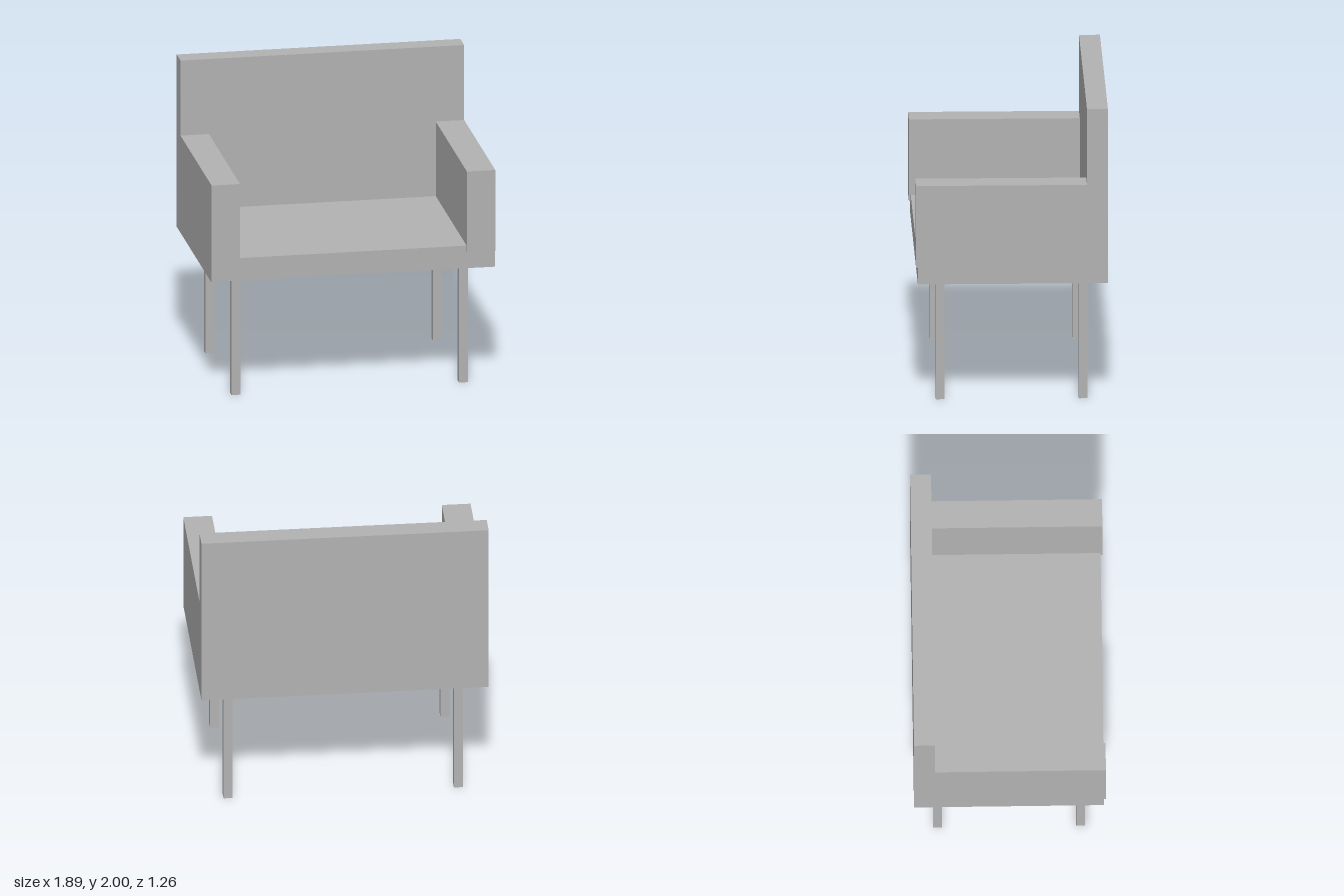
import * as THREE from 'three';

const grey = new THREE.MeshStandardMaterial({ color: 0xb2b2b2 });
grey.name = 'plain grey';

// Box given by its lower and upper bounds on each axis
function block(name, [x0, x1], [y0, y1], [z0, z1]) {
  const mesh = new THREE.Mesh(new THREE.BoxGeometry(x1 - x0, y1 - y0, z1 - z0), grey);
  mesh.position.set((x0 + x1) / 2, (y0 + y1) / 2, (z0 + z1) / 2);
  mesh.name = name;
  return mesh;
}

export function createModel() {
  const chair = new THREE.Group();
  chair.name = 'armchair';
  const W = 0.944, D = 0.628;

  // Seat slab and tall backrest
  chair.add(block('seat', [-W, W], [0.82, 0.975], [-D, 0.616]));
  chair.add(block('backrest', [-W, W], [0.975, 2], [-D, -0.491]));

  for (const [side, s] of [['left', 1], ['right', -1]]) {
    const span = (a, b) => (s > 0 ? [a, b] : [-b, -a]);

    // Armrest, its front lip hanging slightly over the seat edge
    chair.add(block(side + 'Armrest', span(0.755, W), [0.932, 1.486], [-0.491, D]));

    // Square legs
    chair.add(block(side + 'FrontLeg', span(0.728, 0.787), [0, 0.82], [0.436, 0.494]));
    chair.add(block(side + 'BackLeg', span(0.728, 0.787), [0, 0.82], [-0.5, -0.442]));
  }
  return chair;
}
